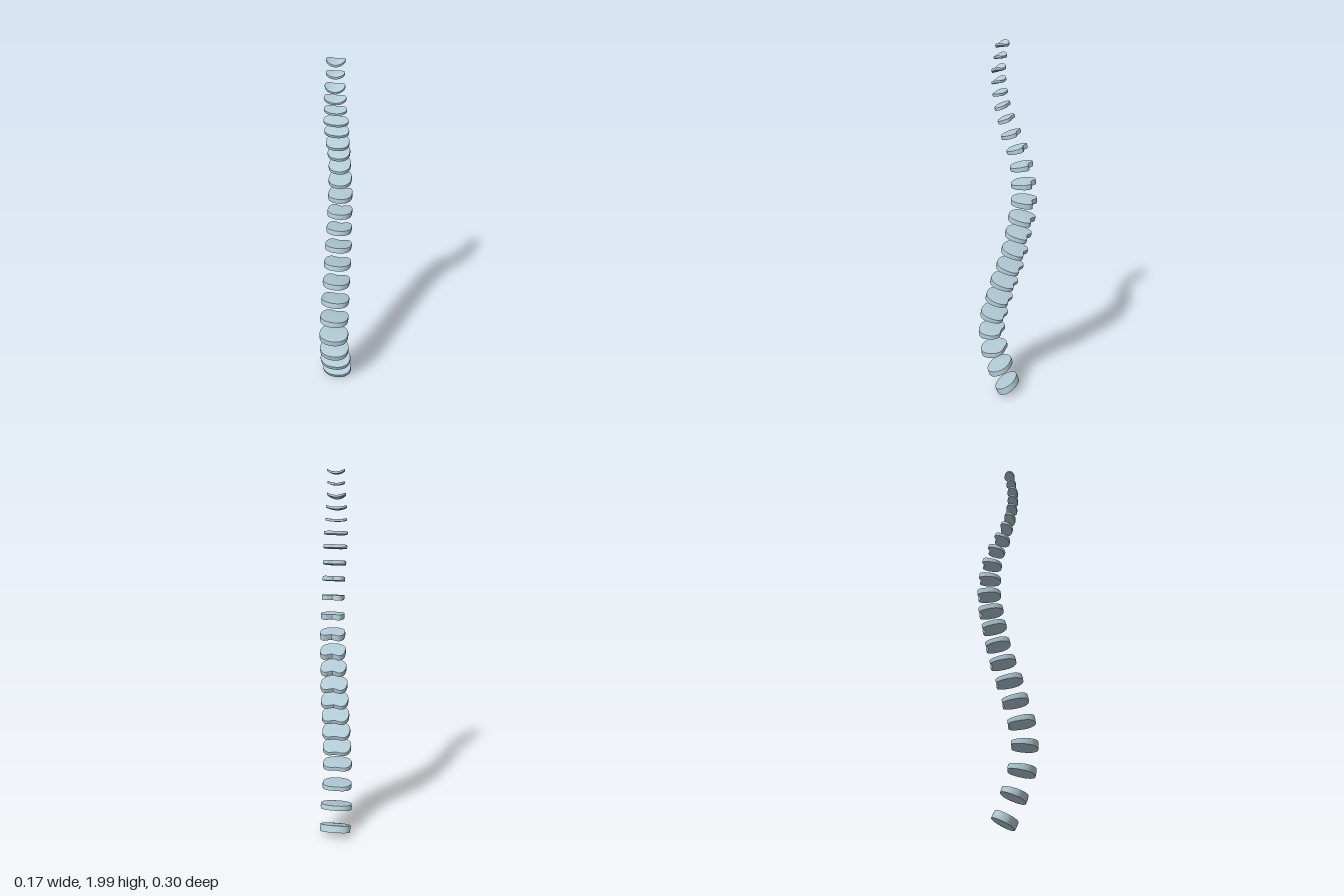
import * as THREE from 'three';
import { toCreasedNormals } from 'three/addons/utils/BufferGeometryUtils.js';

// One row per disc, lowest first: front z, front y, back z, back y, half width
const DISCS = [
  [0.048, 0.03, -0.061, 0.082, 0.084], [0.098, 0.15, -0.024, 0.193, 0.086],
  [0.141, 0.275, 0.008, 0.297, 0.08], [0.154, 0.405, 0.024, 0.41, 0.079],
  [0.141, 0.535, 0.008, 0.511, 0.076], [0.109, 0.646, -0.019, 0.617, 0.074],
  [0.082, 0.752, -0.05, 0.723, 0.071], [0.048, 0.853, -0.08, 0.824, 0.07],
  [0.019, 0.951, -0.103, 0.922, 0.068], [0, 1.049, -0.122, 1.022, 0.064],
  [-0.016, 1.139, -0.141, 1.118, 0.062], [-0.029, 1.227, -0.149, 1.221, 0.06],
  [-0.029, 1.311, -0.141, 1.324, 0.056], [-0.024, 1.396, -0.125, 1.417, 0.053],
  [-0.008, 1.478, -0.095, 1.505, 0.053], [0.019, 1.55, -0.061, 1.576, 0.055],
  [0.034, 1.626, -0.029, 1.647, 0.057], [0.05, 1.69, -0.008, 1.708, 0.057],
  [0.061, 1.754, 0.003, 1.764, 0.052], [0.066, 1.809, 0.01, 1.823, 0.05],
  [0.066, 1.862, 0.01, 1.88, 0.045], [0.056, 1.926, 0.003, 1.934, 0.041],
  [0.048, 1.979, -0.008, 1.988, 0.042],
];

// Properties that change gradually along the column: [disc number, value]
const FRONT_HEIGHT = [[1, 0.042], [2, 0.038], [4, 0.036], [8, 0.03], [12, 0.026], [13, 0.019], [16, 0.018], [19, 0.012], [23, 0.011]];
const BACK_HEIGHT = [[1, 0.04], [2, 0.028], [4, 0.021], [8, 0.021], [12, 0.03], [14, 0.026], [16, 0.019], [19, 0.012], [23, 0.01]];
const NOTCH = [[1, 0], [2, 0.02], [4, 0.2], [8, 0.3], [12, 0.38], [16, 0.3], [18, 0.12], [23, 0.05]];
const CUP = [[1, 0], [18, 0], [20, 0.01], [21, 0.015], [22, 0.009], [23, 0.014]];

function along(keys, n) {
  for (let k = 1; k < keys.length; k++) {
    const [n0, v0] = keys[k - 1], [n1, v1] = keys[k];
    if (n <= n1) return v0 + (v1 - v0) * (n - n0) / (n1 - n0);
  }
  return keys[keys.length - 1][1];
}

// Rounded outline, squarer at the back, with a notch in the middle of the back
function outline(notch, sides) {
  const pts = [];
  for (let j = 0; j < sides; j++) {
    const a = (j / sides) * Math.PI * 2;
    const c = Math.cos(a), s = Math.sin(a);
    const p = s < 0 ? 2 / (2.1 + notch * 2) : 2 / 2.2;
    const u = Math.sign(c) * Math.abs(c) ** p;
    let v = Math.sign(s) * Math.abs(s) ** p;
    if (s < 0) v += notch * Math.exp(-((u / 0.45) ** 2)) * -v;
    pts.push([u, v]);
  }
  const back = -Math.min(...pts.map((q) => q[1]));
  return pts.map(([u, v]) => [u, v < 0 ? v / back : v]);
}

function discGeometry([zf, yf, zb, yb, halfWidth], n) {
  const sides = 40;
  const edge = outline(along(NOTCH, n), sides);
  const hf = along(FRONT_HEIGHT, n), hb = along(BACK_HEIGHT, n), cup = along(CUP, n);
  const half = Math.hypot(zf - zb, yf - yb) / 2;
  const tilt = Math.atan2(yf - yb, zf - zb);

  // Rings from the top centre, over the wall, to the bottom centre: [scale, height]
  const rings = [[0, 1.08], [0.55, 1.06], [1, 0.95], [1.015, 0], [1, -0.95], [0.55, -1.06], [0, -1.08]];
  const pos = [], index = [];
  for (const [scale, level] of rings) {
    for (const [eu, ev] of edge) {
      const u = eu * scale, v = ev * scale;
      const h = (hf * (1 + v) + hb * (1 - v)) / 4;
      pos.push(u * halfWidth, level * h + cup * (u * u - 0.3), v * half);
    }
  }
  for (let i = 0; i < rings.length - 1; i++) {
    for (let j = 0; j < sides; j++) {
      const k = (j + 1) % sides;
      const a = i * sides + j, b = i * sides + k, c = a + sides, d = b + sides;
      if (i > 0) index.push(a, b, c);
      if (i < rings.length - 2) index.push(b, d, c);
      else continue;
      if (i === 0) continue;
    }
  }
  const geo = new THREE.BufferGeometry();
  geo.setAttribute('position', new THREE.Float32BufferAttribute(pos, 3));
  geo.setIndex(index);
  geo.rotateX(-tilt);
  geo.translate(0, (yf + yb) / 2, (zf + zb) / 2);
  return toCreasedNormals(geo, 0.6);
}

export function createModel() {
  const group = new THREE.Group();
  group.name = 'spinalDiscs';
  const material = new THREE.MeshStandardMaterial({ color: 0xb4cdd8 });
  DISCS.forEach((row, i) => {
    const mesh = new THREE.Mesh(discGeometry(row, i + 1), material);
    mesh.name = `disc${i + 1}`;
    group.add(mesh);
  });
  return group;
}
